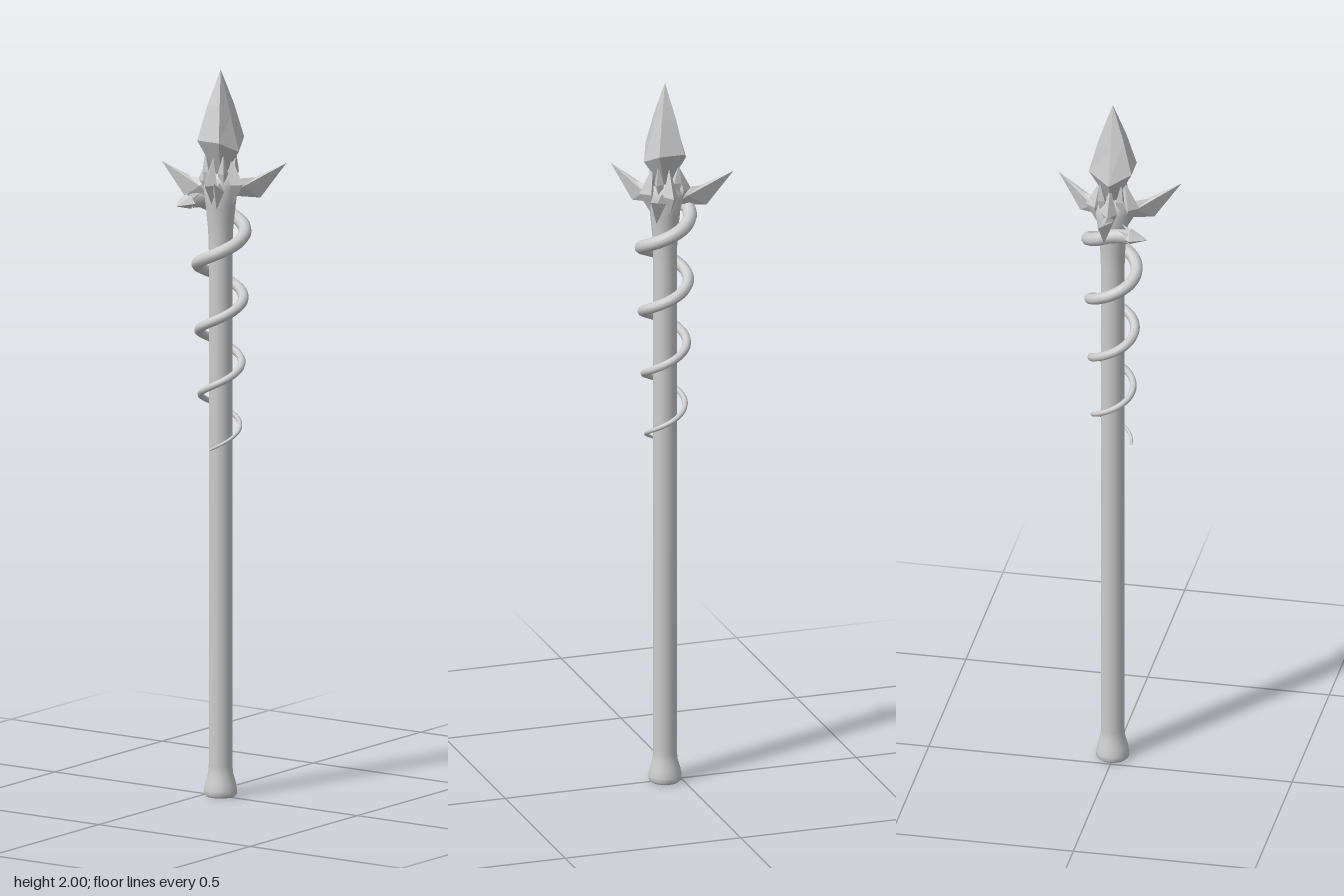
import * as THREE from 'three';

const smooth = new THREE.MeshStandardMaterial({ color: 0xcccccc });
const faceted = new THREE.MeshStandardMaterial({ color: 0xcccccc, flatShading: true, side: THREE.DoubleSide });

function add(parent, name, geometry, material) {
  const mesh = new THREE.Mesh(geometry, material);
  mesh.name = name;
  parent.add(mesh);
  return mesh;
}

function facets(corners, faces) {
  const g = new THREE.BufferGeometry();
  g.setAttribute('position', new THREE.Float32BufferAttribute(corners.flat(), 3));
  g.setIndex(faces.flat());
  const flat = g.toNonIndexed();
  flat.computeVertexNormals();
  return flat;
}

// Closed solid from two end points and a ring of corners between them
function spindle(top, ring, bottom) {
  const n = ring.length, faces = [];
  for (let i = 0; i < n; i++) {
    const a = i + 2, b = ((i + 1) % n) + 2;
    faces.push([0, b, a], [1, a, b]);
  }
  return facets([top, bottom, ...ring], faces);
}

// Tube whose radius follows a rule along the path
function taperedTube(path, segments, sides, radius) {
  const g = new THREE.TubeGeometry(path, segments, 1, sides);
  const pos = g.attributes.position, nor = g.attributes.normal;
  for (let i = 0; i <= segments; i++) {
    const c = path.getPointAt(i / segments), r = radius(i / segments);
    for (let j = 0; j <= sides; j++) {
      const k = i * (sides + 1) + j;
      pos.setXYZ(k, c.x + nor.getX(k) * r, c.y + nor.getY(k) * r, c.z + nor.getZ(k) * r);
    }
  }
  return g;
}

export function createModel() {
  const root = new THREE.Group();
  root.name = 'staff';
  const staff = new THREE.Group();
  staff.name = 'staffAxis';
  staff.position.set(0.003, 0, 0.046);
  root.add(staff);

  // Shaft with a flared foot and a flared top
  const profile = [[0, 0], [0.039, 0], [0.045, 0.006], [0.045, 0.018], [0.041, 0.038], [0.034, 0.062],
    [0.032, 0.085], [0.032, 1.5], [0.034, 1.56], [0.041, 1.63], [0.047, 1.675], [0.036, 1.71], [0, 1.715]];
  add(staff, 'shaft', new THREE.LatheGeometry(profile.map(p => new THREE.Vector2(...p)), 24), smooth);

  // Six-sided spear point, its front and back corners set lower
  const ring = [];
  for (let i = 0; i < 6; i++) {
    const a = Math.PI / 6 + i * Math.PI / 3;
    const mid = i % 3 === 1;
    ring.push([0.068 * Math.cos(a), mid ? 1.78 : 1.81, (mid ? 0.06 : 0.072) * Math.sin(a)]);
  }
  // Convex shoulder between the corners and the tip
  const shoulder = ring.map(([x, y, z]) => [x * 0.56, y + 0.095, z * 0.56]);
  const faces = [];
  for (let i = 0; i < 6; i++) {
    const j = (i + 1) % 6;
    faces.push([0, 8 + j, 8 + i], [8 + i, 8 + j, 2 + j], [8 + i, 2 + j, 2 + i], [1, 2 + i, 2 + j]);
  }
  add(staff, 'spearPoint', facets([[0, 2, 0], [0, 1.69, 0], ...ring, ...shoulder], faces), faceted);

  // Four claws cupping the spear point
  for (let i = 0; i < 4; i++) {
    const claw = add(staff, 'claw', spindle([0.034, 1.765, 0],
      [[0.074, 1.69, 0], [0.046, 1.69, 0.021], [0.022, 1.69, 0], [0.046, 1.69, -0.021]],
      [0.036, 1.625, 0]), faceted);
    claw.rotation.y = i * Math.PI / 2;
  }
  // Slim leaves filling the gaps between the claws
  for (let i = 0; i < 4; i++) {
    const leaf = add(staff, 'leaf', spindle([0.042, 1.775, 0],
      [[0.05, 1.72, 0], [0.035, 1.72, 0.014], [0.02, 1.72, 0], [0.035, 1.72, -0.014]],
      [0.03, 1.65, 0]), faceted);
    leaf.rotation.y = Math.PI / 4 + i * Math.PI / 2;
  }

  // Three swept blades, one to the back and two to the front sides
  for (let i = 0; i < 3; i++) {
    const blade = add(staff, 'blade', facets([
      [0.195, 1.725, 0], [0.118, 1.637, 0],
      [0.03, 1.695, 0], [0.03, 1.65, 0],
      [0.06, 1.675, 0.015], [0.06, 1.675, -0.015],
      [0.105, 1.694, 0],
    ], [[0, 6, 4], [6, 2, 4], [0, 4, 1], [1, 4, 3], [2, 3, 4],
      [0, 5, 6], [6, 5, 2], [0, 1, 5], [1, 3, 5], [2, 5, 3]]), faceted);
    blade.rotation.y = Math.PI / 2 + i * Math.PI * 2 / 3;
  }

  // Serpent body winding up the shaft, thin at the tail
  const points = [];
  for (let s = 0; s <= 60; s++) {
    const k = s / 4, a = k * Math.PI / 2, r = 0.051 + 0.0011 * k;
    points.push(new THREE.Vector3(-r * Math.cos(a), 0.96 + 0.0425 * k + 0.00015 * k * k, r * Math.sin(a)));
  }
  points.push(new THREE.Vector3(-0.028, 1.636, -0.066), new THREE.Vector3(-0.055, 1.637, -0.066));
  const path = new THREE.CatmullRomCurve3(points);
  path.arcLengthDivisions = 800;
  add(staff, 'serpentBody', taperedTube(path, 240, 10, t => 0.003 + 0.0165 * Math.pow(t, 0.7)), smooth);

  // Serpent head: broad at the jaw and pointed at the snout
  const head = new THREE.Group();
  head.name = 'serpentHead';
  head.position.set(-0.066, 1.637, -0.065);
  head.rotation.y = -0.08;
  staff.add(head);
  add(head, 'skull', spindle([-0.045, -0.004, 0],
    [[0, 0, 0.03], [0.004, 0.019, 0.012], [0.004, 0.019, -0.012], [0, 0, -0.03],
      [0.002, -0.016, -0.012], [0.002, -0.016, 0.012]].reverse(),
    [0.045, 0, 0]), faceted);
  for (const side of [-1, 1]) {
    const horn = add(head, 'horn', new THREE.ConeGeometry(0.007, 0.035, 6), smooth);
    horn.position.set(0.02, 0.016, side * 0.015);
    horn.rotation.set(side * 0.5, 0, -1);
  }
  return root;
}
